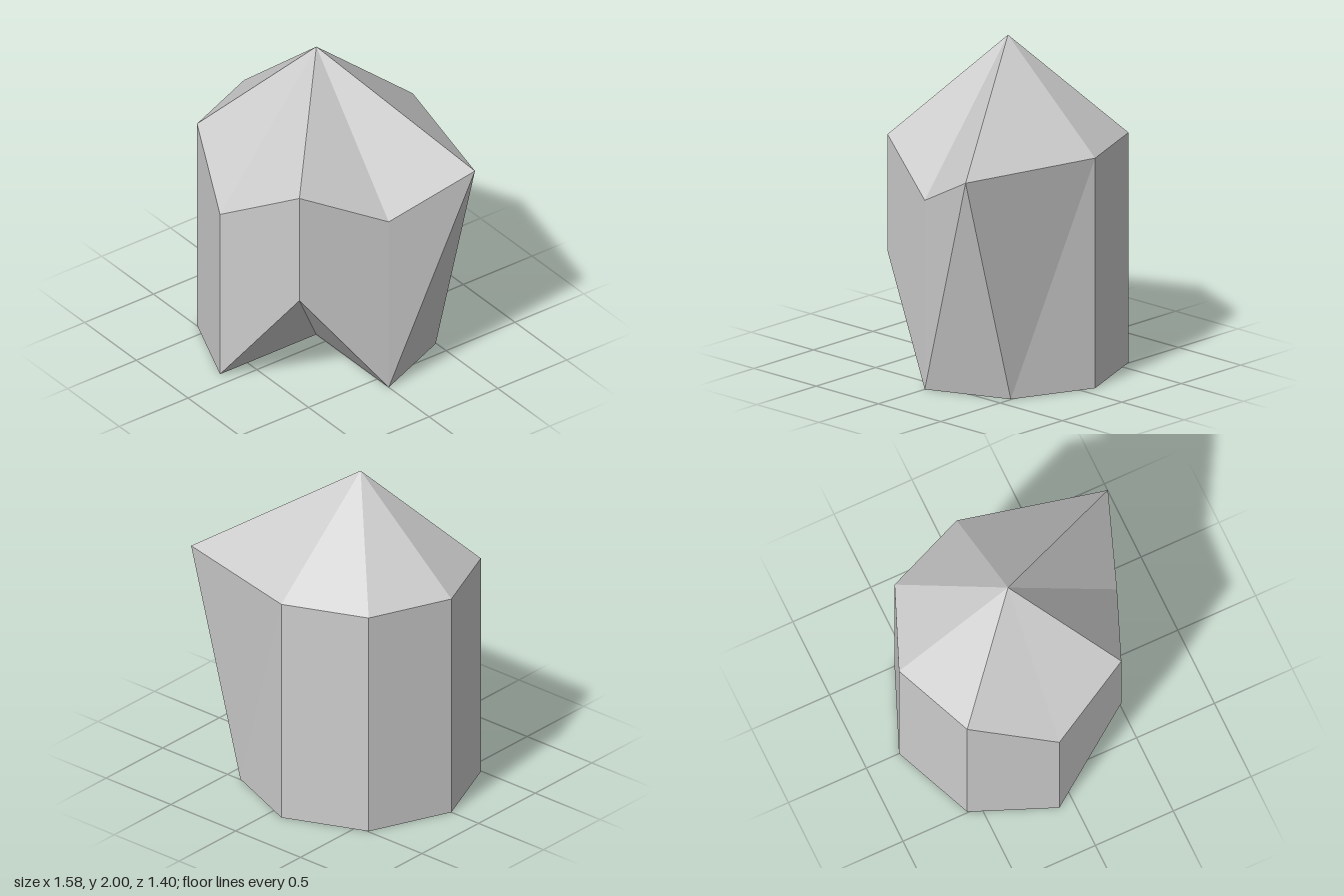
import * as THREE from 'three';

// Eight-sided prism with a pointed top; a few corners are shifted to make it irregular
const SIDES = 8;
const RADIUS = 0.7;
const CENTRE_X = -0.09;

function ring(y) {
  return Array.from({ length: SIDES }, (_, i) => {
    const a = (i / SIDES) * Math.PI * 2;
    return new THREE.Vector3(CENTRE_X + RADIUS * Math.cos(a), y, RADIUS * Math.sin(a));
  });
}

function crystalGeometry() {
  const bottom = ring(0);
  const top = ring(1.4);
  const apex = new THREE.Vector3(CENTRE_X, 2, 0);
  const base = new THREE.Vector3(CENTRE_X, 0, 0);

  // Shifted corners
  top[0].y = 1.15;
  top[2].y = 1.11;
  top[7].x = 0.785;
  bottom[1].y = 0.69;

  const corners = [];
  for (let i = 0; i < SIDES; i++) {
    const j = (i + 1) % SIDES;
    corners.push(apex, top[j], top[i]); // pointed top
    corners.push(bottom[i], top[i], bottom[j], top[i], top[j], bottom[j]); // side
    corners.push(base, bottom[i], bottom[j]); // underside
  }
  const geometry = new THREE.BufferGeometry().setFromPoints(corners);
  geometry.computeVertexNormals();
  return geometry;
}

export function createModel() {
  const group = new THREE.Group();
  group.name = 'crystal';
  const material = new THREE.MeshStandardMaterial({ color: 0xcccccc, flatShading: true });
  const body = new THREE.Mesh(crystalGeometry(), material);
  body.name = 'crystalBody';
  group.add(body);
  return group;
}
